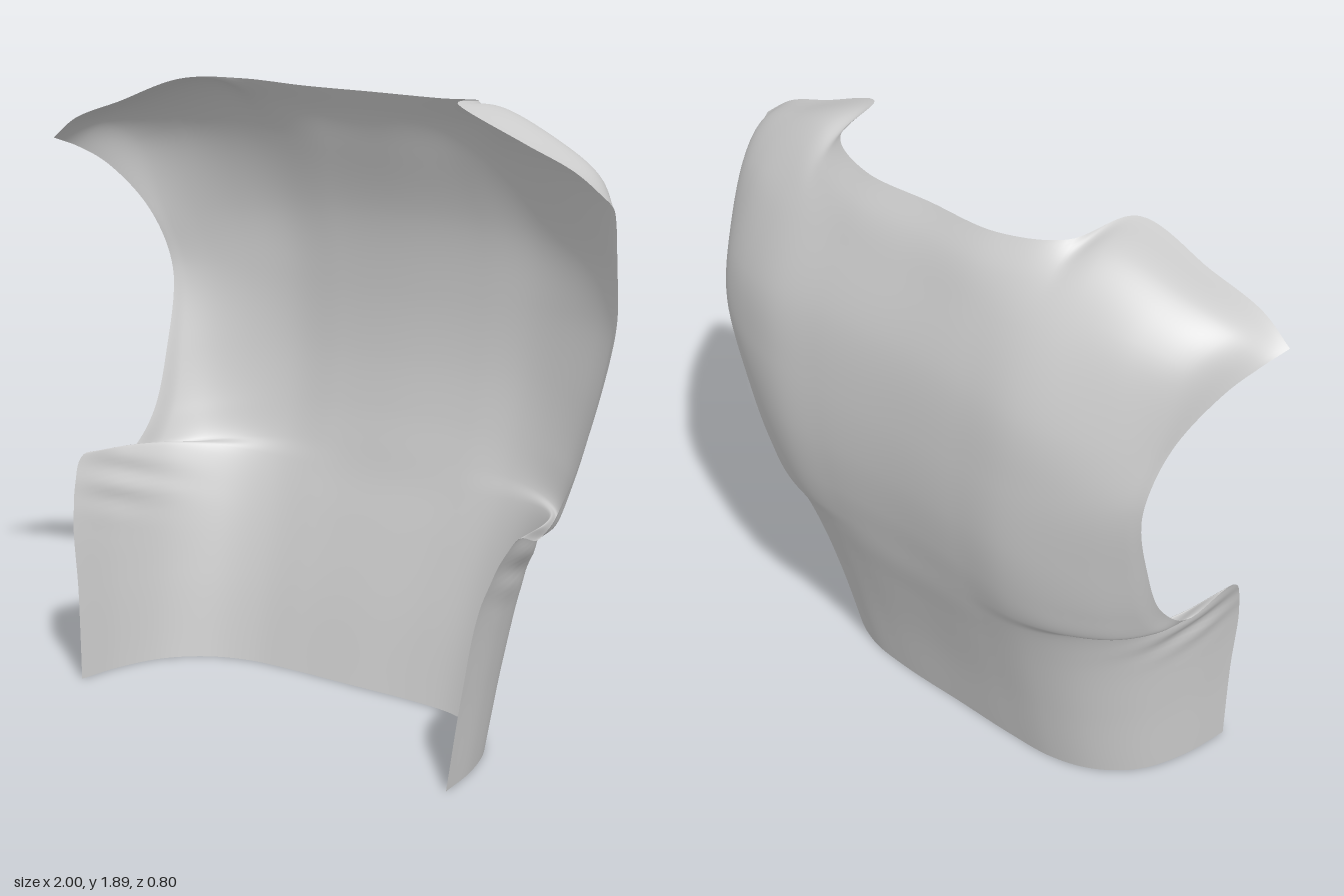
import * as THREE from 'three';

const V = (x, y, z) => new THREE.Vector3(x, y, z);
const lerp = THREE.MathUtils.lerp;
const smooth = THREE.MathUtils.smoothstep;

// Torso: centre line [y, z] paired with side edge [x, y, z], hem to upper armhole
const torso = [
  [[0, -.13], [.715, 0, .365]],
  [[.25, -.195], [.735, .28, .345]],
  [[.48, -.265], [.765, .54, .32]],
  [[.62, -.31], [.8, .7, .225]],
  [[.72, -.335], [.78, .665, .05]],
  [[.85, -.365], [.78, .77, -.08]],
  [[1.02, -.39], [.8, .97, -.175]],
  [[1.22, -.395], [.825, 1.23, -.235]],
  [[1.45, -.37], [.86, 1.42, -.17]],
];
// How a section travels from centre line to edge: low on the back, then high
const across = [0, .32, .55, .73, .88, .965, 1];
const lowWrap = [0, 0, .03, .14, .36, .67, 1];
const highWrap = [0, -.03, -.03, .18, .5, .8, 1];

// Yoke: half sections that roll over the shoulder to the neckline and seam
const yoke = [
  [[0, 1.66, -.3], [.25, 1.66, -.305], [.43, 1.67, -.29], [.56, 1.7, -.24], [.72, 1.68, -.19], [.85, 1.63, -.13], [.925, 1.565, -.055]],
  [[0, 1.765, -.255], [.25, 1.765, -.258], [.43, 1.785, -.21], [.53, 1.85, -.1], [.74, 1.785, -.05], [.89, 1.71, -.01], [.97, 1.625, .035]],
  [[0, 1.85, -.2], [.25, 1.85, -.197], [.43, 1.865, -.12], [.5, 1.875, .087], [.73, 1.79, .11], [.9, 1.727, .12], [1, 1.657, .113]],
];

function torsoSection([[yc, zc], [xe, ye, ze]]) {
  const high = smooth(yc, .5, 1.2);
  return across.map((a, i) => [
    xe * a,
    lerp(yc, ye, a * a),
    lerp(zc, ze, lerp(lowWrap[i], highWrap[i], high)),
  ]);
}

// Mirror a half section into one smooth curve from right edge to left edge
function fullSection(half) {
  const left = half.map(p => V(...p));
  const right = half.slice(1).reverse().map(([x, y, z]) => V(-x, y, z));
  return new THREE.CatmullRomCurve3([...right, ...left]);
}

// Slight lean that keeps the two sides from matching exactly
function lean(p) {
  const { x, y } = p;
  p.z += .035 * Math.pow(x / .715, 3) * Math.max(0, 1 - y / .7);
  p.y -= .015 * x * smooth(y, 1.3, 1.65);
  p.x += (-.021 + .03 * Math.min(y / 1.2, 1)) * (1 - smooth(y, 1.35, 1.65));
  return p;
}

// Faint gathered folds in the cloth below the armhole
function folds(p) {
  const near = Math.exp(-(((p.y - .6) / .09) ** 2) - (((p.z - .1) / .14) ** 2));
  p.x += Math.sign(p.x) * .008 * near * Math.sin(p.y * 55 - p.z * 18);
  return p;
}

function clothGeometry(sections, nu, nv) {
  const rows = sections.map(s => s.getPoints(nu));
  const positions = [], index = [];
  for (let i = 0; i <= nu; i++) {
    const seam = new THREE.CatmullRomCurve3(rows.map(r => r[i]));
    for (const p of seam.getPoints(nv)) {
      folds(lean(p));
      positions.push(p.x, Math.max(0, p.y), p.z);
    }
  }
  const n = nv + 1;
  for (let i = 0; i < nu; i++) {
    for (let j = 0; j < nv; j++) {
      const a = i * n + j, b = a + n;
      index.push(a, a + 1, b, b, a + 1, b + 1);
    }
  }
  const geometry = new THREE.BufferGeometry();
  geometry.setAttribute('position', new THREE.Float32BufferAttribute(positions, 3));
  geometry.setIndex(index);
  geometry.computeVertexNormals();
  return geometry;
}

export function createModel() {
  const group = new THREE.Group();
  group.name = 'vestBack';
  const cloth = new THREE.MeshStandardMaterial({ color: 0xcccccc, side: THREE.DoubleSide });

  // Single sheet of cloth: hem, sides, armholes, shoulders and neckline
  const sections = [...torso.map(torsoSection), ...yoke].map(fullSection);
  const panel = new THREE.Mesh(clothGeometry(sections, 120, 110), cloth);
  panel.name = 'backPanel';
  group.add(panel);
  return group;
}
